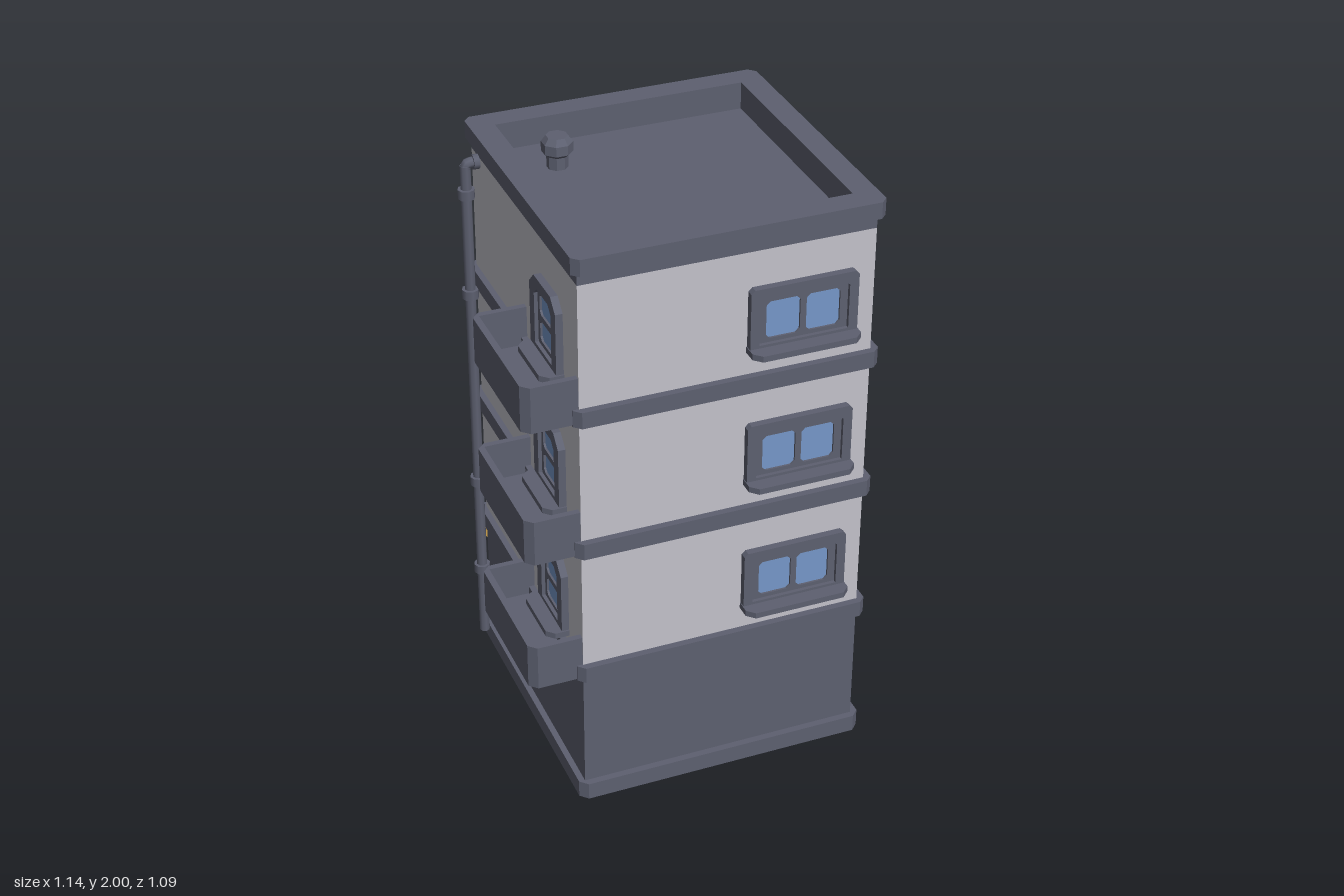
import * as THREE from 'three';

const mat = (name, color) => {
  const m = new THREE.MeshStandardMaterial({ color });
  m.name = name;
  return m;
};

export function createModel() {
  const slate = mat('slate', 0x5d6070);
  const plaster = mat('plaster', 0xc2c1ca);
  const glass = mat('glass', 0x7597c8);
  const gold = mat('gold', 0xcb9f48);

  const root = new THREE.Group();
  root.name = 'cornerShopBuilding';

  const add = (parent, name, geo, material) => {
    const m = new THREE.Mesh(geo, material);
    m.name = name;
    parent.add(m);
    return m;
  };
  const box = (parent, name, material, x0, x1, y0, y1, z0, z1) => {
    const m = add(parent, name, new THREE.BoxGeometry(x1 - x0, y1 - y0, z1 - z0), material);
    m.position.set((x0 + x1) / 2, (y0 + y1) / 2, (z0 + z1) / 2);
    return m;
  };
  // Rectangle outline with cut corners: bottom cut cb, top cut ct
  const outline = (Type, x0, x1, y0, y1, cb = 0, ct = cb) => {
    const pts = [];
    const corner = (c, a, b) => (c > 0 ? pts.push(a, b) : pts.push(a));
    const v = (x, y) => new THREE.Vector2(x, y);
    corner(cb, v(x0, y0 + cb), v(x0 + cb, y0));
    corner(cb, v(x1 - cb, y0), v(x1, y0 + cb));
    corner(ct, v(x1, y1 - ct), v(x1 - ct, y1));
    corner(ct, v(x0 + ct, y1), v(x0, y1 - ct));
    return new Type(pts);
  };
  const extrude = (shape, depth) => new THREE.ExtrudeGeometry(shape, { depth, bevelEnabled: false });
  // Upright panel facing +z
  const panel = (parent, name, material, shape, z0, z1) => {
    const m = add(parent, name, extrude(shape, z1 - z0), material);
    m.position.z = z0;
    return m;
  };
  // Flat slab from a plan shape (shape y = -z)
  const slab = (parent, name, material, shape, y0, y1) => {
    const m = add(parent, name, extrude(shape, y1 - y0).rotateX(-Math.PI / 2), material);
    m.position.y = y0;
    return m;
  };

  const floors = [0, 0.472, 0.944];
  const X0 = -0.4, X1 = 0.545, W = 0.472;

  // Main walls
  box(root, 'groundFloorWalls', slate, X0, X1, 0.01, 0.5, -W, W);
  box(root, 'upperWalls', plaster, X0, X1, 0.5, 1.89, -W, W);

  // Plinth, notched at the shopfront
  const plinth = new THREE.Shape([
    [-0.42, -0.47], [-0.395, -0.495], [0.545, -0.495], [0.57, -0.47], [0.57, 0.47], [0.545, 0.495],
    [0.45, 0.495], [0.45, 0.465], [-0.35, 0.465], [-0.35, 0.495], [-0.395, 0.495], [-0.42, 0.47],
  ].map(([x, y]) => new THREE.Vector2(x, y)));
  slab(root, 'plinth', slate, plinth, 0, 0.06);

  // Storey bands
  const plan = () => outline(THREE.Shape, -0.42, 0.57, -0.495, 0.495, 0.022);
  for (const f of floors) slab(root, 'storeyBand', slate, plan(), 0.476 + f, 0.532 + f);

  // Roof with parapet
  const roofHole = () => outline(THREE.Path, -0.34, 0.49, -0.412, 0.412);
  const frieze = outline(THREE.Shape, X0, X1, -W, W);
  frieze.holes.push(roofHole());
  slab(root, 'frieze', slate, frieze, 1.89, 1.93);
  const parapet = plan();
  parapet.holes.push(roofHole());
  slab(root, 'parapet', slate, parapet, 1.93, 1.985);
  box(root, 'roofDeck', slate, -0.35, 0.5, 1.88, 1.894, -0.42, 0.42);

  // Roof vent
  const ventPts = [[0.034, 1.88], [0.034, 1.935], [0.05, 1.948], [0.05, 1.98], [0.035, 2], [0, 2]];
  const ventGeo = new THREE.LatheGeometry(ventPts.map(([x, y]) => new THREE.Vector2(x, y)), 8, Math.PI / 8);
  const vent = add(root, 'roofVent', ventGeo.toNonIndexed(), slate);
  vent.geometry.computeVertexNormals();
  vent.position.set(-0.197, 0, -0.245);

  // Facade groups: local x along the wall, local z outward
  const facade = (name, x, z, turn) => {
    const g = new THREE.Group();
    g.name = name;
    g.position.set(x, 0, z);
    g.rotation.y = turn;
    root.add(g);
    return g;
  };
  const front = facade('frontFacade', 0, W, 0);
  const back = facade('backFacade', 0, -W, Math.PI);
  const side = facade('balconyFacade', X0, 0, -Math.PI / 2);

  // Window: chamfered surround, sash with panes, glass, sill
  const makeWindow = (parent, x, y, o) => {
    const g = new THREE.Group();
    g.name = 'window';
    g.position.set(x, y, 0);
    parent.add(g);
    const { w, y0, y1, cut, hw, h0, h1, panes } = o;
    const surround = outline(THREE.Shape, -w / 2, w / 2, y0, y1, 0, cut);
    surround.holes.push(outline(THREE.Path, -hw / 2, hw / 2, h0, h1, 0, cut * 0.6));
    panel(g, 'windowSurround', slate, surround, -0.005, 0.024);
    const sash = outline(THREE.Shape, -hw / 2 - 0.005, hw / 2 + 0.005, h0 - 0.005, h1 + 0.005, 0, cut * 0.6);
    for (const p of panes) sash.holes.push(outline(THREE.Path, ...p, 0.012));
    panel(g, 'windowSash', slate, sash, -0.004, 0.012);
    box(g, 'windowGlass', glass, -hw / 2, hw / 2, h0, h1 - cut * 0.4, -0.002, 0.005);
    slab(g, 'windowSill', slate, outline(THREE.Shape, -o.sill / 2, o.sill / 2, -0.072, 0.03, 0.025, 0), y0 - 0.02, y0);
  };
  const wide = {
    w: 0.35, y0: 0.628, y1: 0.828, cut: 0.012, hw: 0.29, h0: 0.637, h1: 0.792, sill: 0.355,
    panes: [[-0.12, -0.01, 0.65, 0.775], [0.01, 0.12, 0.65, 0.775]],
  };
  const tall = {
    w: 0.225, y0: 0.582, y1: 0.828, cut: 0.04, hw: 0.145, h0: 0.596, h1: 0.79, sill: 0.235,
    panes: [[-0.056, 0.056, 0.61, 0.68], [-0.056, 0.056, 0.7, 0.772]],
  };
  for (const f of floors) {
    makeWindow(front, 0.309, f, wide);
    makeWindow(back, 0.16, f, tall);
    makeWindow(back, -0.31, f, tall);
    makeWindow(side, 0.235, f, tall);

    // Balcony
    const bal = () => outline(THREE.Shape, 0, 0.47, -0.173, 0.03, 0.025, 0);
    const rail = bal();
    rail.holes.push(outline(THREE.Path, 0.02, 0.45, -0.152, 0.01));
    slab(side, 'balconyFloor', slate, bal(), 0.48 + f, 0.505 + f);
    slab(side, 'balconyRail', slate, rail, 0.505 + f, 0.636 + f);
  }

  // Shop sign over the shopfront
  box(back, 'signBacking', slate, -0.53, 0.38, 0.36, 0.474, -0.01, 0.043);
  panel(back, 'signBoard', gold, outline(THREE.Shape, -0.545, 0.395, 0.356, 0.477, 0.022), 0.043, 0.073);

  // Shopfront: frame with window, panel and doorway openings
  const shop = outline(THREE.Shape, -0.45, 0.35, 0.004, 0.37);
  shop.holes.push(outline(THREE.Path, -0.42, -0.185, 0.11, 0.335));
  shop.holes.push(outline(THREE.Path, -0.125, -0.005, 0.05, 0.32));
  shop.holes.push(outline(THREE.Path, 0.06, 0.325, 0.012, 0.335));
  panel(back, 'shopfrontFrame', slate, shop, -0.005, 0.016);
  box(back, 'shopWindowGlass', glass, -0.42, -0.185, 0.11, 0.335, -0.003, 0.004);
  box(back, 'shopWindowStripe', gold, -0.42, -0.185, 0.11, 0.158, 0, 0.007);
  box(back, 'shopWindowSill', slate, -0.455, -0.165, 0.085, 0.108, 0, 0.027);
  for (const x of [-0.455, -0.16, 0.02, 0.335]) {
    box(back, 'pilaster', slate, x, x + 0.025, 0.004, 0.37, 0, 0.025);
  }

  // Glazed double doors with pull handles
  for (const s of [-1, 1]) {
    const c = 0.1925 + s * 0.066;
    const leaf = outline(THREE.Shape, c - 0.065, c + 0.065, 0.012, 0.335);
    leaf.holes.push(outline(THREE.Path, c - 0.048, c + 0.048, 0.04, 0.318, 0.01));
    panel(back, 'shopDoor', slate, leaf, -0.003, 0.01);
    box(back, 'shopDoorGlass', glass, c - 0.05, c + 0.05, 0.035, 0.32, -0.002, 0.004);
    const h = 0.1925 + s * 0.024;
    box(back, 'doorHandle', slate, h - 0.015, h + 0.015, 0.145, 0.205, 0.004, 0.024);
  }

  // Drainpipe with collars and elbow
  const px = -0.443, pz = -0.41;
  const tube = (name, r, len, x, y) => {
    const m = add(root, name, new THREE.CylinderGeometry(r, r, len, 8), slate);
    m.position.set(x, y, pz);
    return m;
  };
  tube('drainpipe', 0.018, 1.8, px, 0.965);
  for (const y of [0.33, 0.69, 1.41, 1.768]) tube('pipeCollar', 0.028, 0.032, px, y);
  const elbow = new THREE.CatmullRomCurve3([
    [px, 1.855], [px + 0.004, 1.868], [px + 0.018, 1.872], [-0.39, 1.872],
  ].map(([x, y]) => new THREE.Vector3(x, y, pz)));
  add(root, 'pipeElbow', new THREE.TubeGeometry(elbow, 8, 0.018, 8), slate);
  tube('pipeOutlet', 0.025, 0.02, -0.409, 1.872).rotation.z = Math.PI / 2;

  return root;
}
